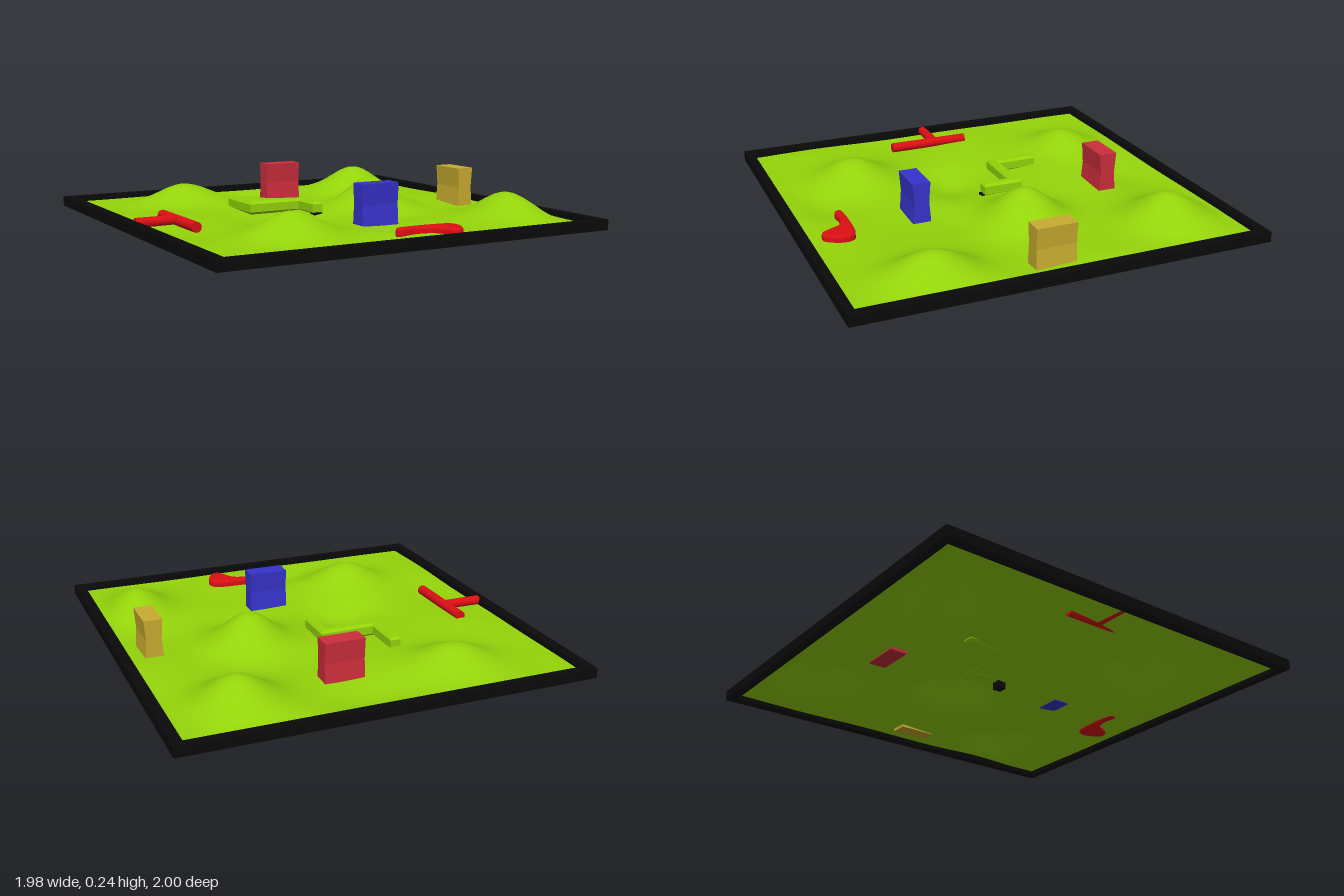
import * as THREE from 'three';

const mat = (color, side = THREE.FrontSide) => new THREE.MeshStandardMaterial({ color, side });
const black = mat(0x0a0a0a), grass = mat(0x94d40a, THREE.DoubleSide), red = mat(0xdc0f14);

function add(parent, name, geometry, material, x = 0, y = 0, z = 0) {
  const mesh = new THREE.Mesh(geometry, material);
  mesh.name = name;
  mesh.position.set(x, y, z);
  parent.add(mesh);
  return mesh;
}

// hills and hollows: x, z, height, x radius, z radius
const bumps = [
  [0.35, -0.06, 0.15, 0.14, 0.15],
  [0.62, -0.67, 0.13, 0.15, 0.15],
  [-0.45, -0.65, 0.105, 0.17, 0.14],
  [-0.43, 0.56, 0.115, 0.16, 0.15],
  [0.75, 0.55, 0.115, 0.13, 0.17],
  [0.3, 0.22, -0.025, 0.16, 0.12],
  [-0.22, 0.12, -0.05, 0.16, 0.13],
  [0.1, -0.8, -0.02, 0.2, 0.12],
  [-0.15, 0.78, -0.02, 0.15, 0.1],
];

function groundHeight(x, z) {
  const edge = Math.min(1, (0.98 - Math.max(Math.abs(x), Math.abs(z))) / 0.12);
  let y = 0.062 + 0.01 * edge * Math.sin(6 * x + 1.5 * z) * Math.cos(7 * z - 2 * x);
  for (const [cx, cz, h, rx, rz] of bumps) {
    const d = ((x - cx) / rx) ** 2 + ((z - cz) / rz) ** 2;
    y += h * edge * Math.exp(-0.75 * d);
  }
  return y;
}

// thin sheet of rolling ground
function groundGeometry() {
  const g = new THREE.PlaneGeometry(1.93, 1.95, 64, 64).rotateX(-Math.PI / 2);
  const p = g.attributes.position;
  for (let i = 0; i < p.count; i++) p.setY(i, groundHeight(p.getX(i), p.getZ(i)));
  g.computeVertexNormals();
  return g;
}

// upright block whose narrow sides are pinched at mid height
function blockGeometry() {
  const g = new THREE.BoxGeometry(0.195, 0.2, 0.09, 1, 2, 1);
  const p = g.attributes.position;
  for (let i = 0; i < p.count; i++) {
    if (Math.abs(p.getY(i)) < 0.01) p.setZ(i, p.getZ(i) * 0.82);
  }
  const flat = g.toNonIndexed();
  flat.computeVertexNormals();
  return flat;
}

export function createModel() {
  const model = new THREE.Group();
  model.name = 'miniatureCourse';
  add(model, 'ground', groundGeometry(), grass);

  // border
  const frame = new THREE.Group();
  frame.name = 'border';
  model.add(frame);
  for (const s of [-1, 1]) {
    add(frame, 'sideRail', new THREE.BoxGeometry(0.05, 0.05, 2), black, s * 0.965, 0.065, 0);
    add(frame, 'endRail', new THREE.BoxGeometry(1.98, 0.05, 0.042), black, 0, 0.065, s * 0.979);
  }
  add(model, 'centrePeg', new THREE.BoxGeometry(0.045, 0.045, 0.045), black, 0, 0.04, 0);

  // standing blocks
  add(model, 'blueBlock', blockGeometry(), mat(0x3733cc), 0.095, 0.152, 0.402);
  add(model, 'redBlock', blockGeometry(), mat(0xcc2e3c), 0.095, 0.152, -0.588);
  add(model, 'yellowBlock', blockGeometry(), mat(0xc8ac30), 0.82, 0.152, 0.028).rotation.y = Math.PI / 2;

  // bevelled zigzag wall, drawn as its plan and raised
  const w = 0.027, b = 0.012;
  const zigzag = new THREE.Shape([
    [-0.275 - w, -0.39], [-0.275 + w, -0.39], [-0.275 + w, -0.165 - w], [w, -0.165 - w],
    [w, 0.01], [-w, 0.01], [-w, -0.165 + w], [-0.275 - w, -0.165 + w],
  ].map(([x, z]) => new THREE.Vector2(x, z)));
  const raise = (shape, depth, bevel, segments) => new THREE.ExtrudeGeometry(shape, {
    depth, bevelThickness: bevel, bevelSize: bevel, bevelOffset: -bevel, bevelSegments: segments, curveSegments: 8,
  }).rotateX(Math.PI / 2);
  add(model, 'zigzagWall', raise(zigzag, 0.04, b, 1), grass, 0, 0.105, 0);

  // T-shaped rod
  const tee = new THREE.Group();
  tee.name = 'teeRod';
  model.add(tee);
  const bar = new THREE.CylinderGeometry(0.025, 0.025, 0.42, 16).rotateX(Math.PI / 2);
  const stem = new THREE.CylinderGeometry(0.024, 0.024, 0.2, 16).rotateZ(Math.PI / 2);
  add(tee, 'teeBar', bar, red, -0.745, 0.082, 0.025);
  add(tee, 'teeStem', stem, red, -0.845, 0.082, -0.012);

  // rounded bent club
  const outline = new THREE.SplineCurve([
    [-0.02, 0.753], [0.0, 0.735], [0.13, 0.732], [0.25, 0.745], [0.283, 0.79], [0.268, 0.85],
    [0.235, 0.892], [0.195, 0.885], [0.165, 0.83], [0.14, 0.792], [0.07, 0.77], [0.0, 0.774], [-0.02, 0.753],
  ].map(([x, z]) => new THREE.Vector2(x, z)));
  const club = new THREE.Shape(outline.getPoints(48).slice(0, -1));
  add(model, 'bentClub', raise(club, 0.02, 0.014, 4), red, 0, 0.083, 0);

  // rest the lowest point on the base plane
  const floor = new THREE.Box3().setFromObject(model).min.y;
  for (const part of model.children) part.position.y -= floor > 0.012 ? 0.012 : floor;
  return model;
}
